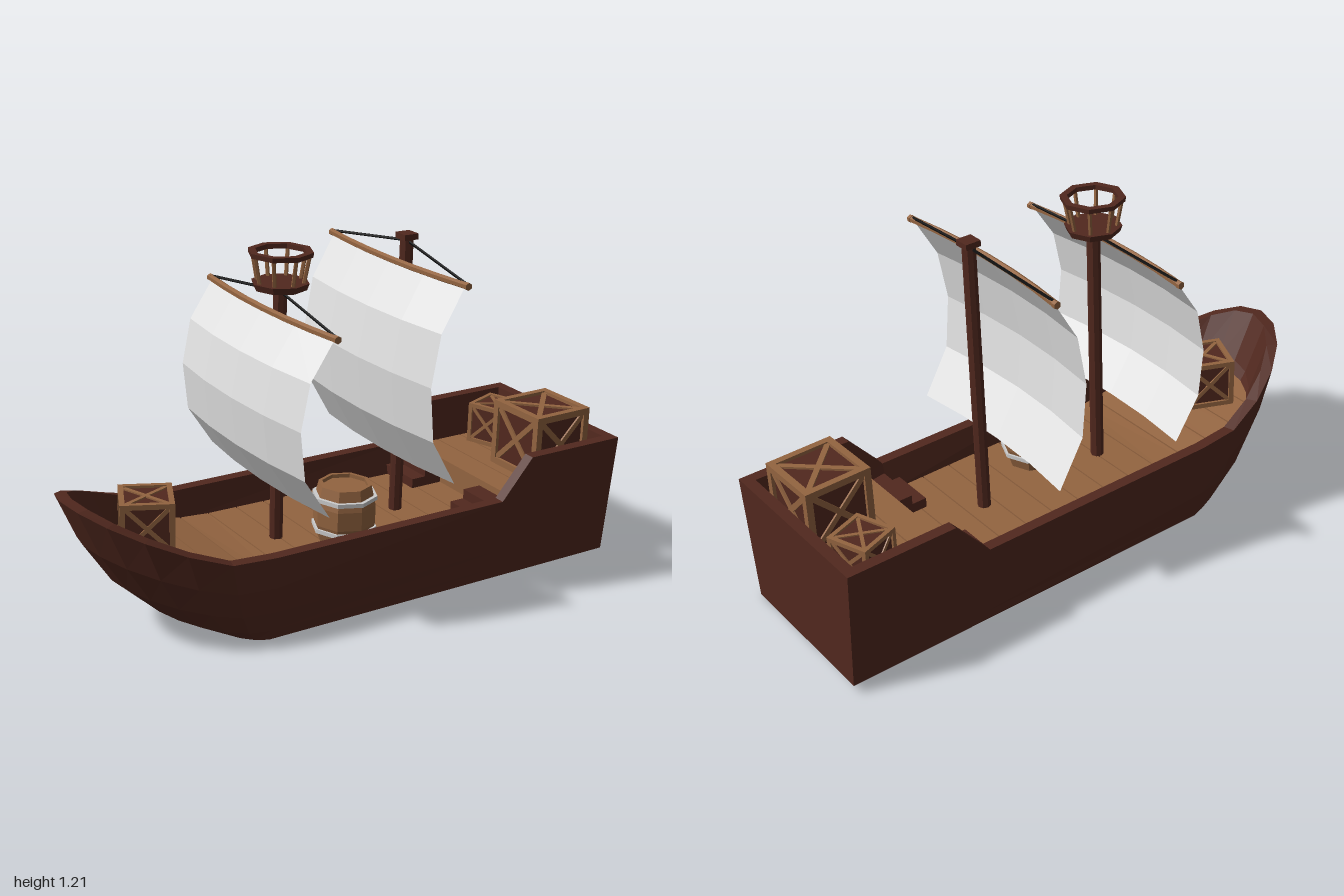
import * as THREE from 'three';

const mat = (name, color, side = THREE.FrontSide) => {
  const m = new THREE.MeshStandardMaterial({ color, flatShading: true, side });
  m.name = name;
  return m;
};
const V = (x, y, z) => new THREE.Vector3(x, y, z);

// piecewise linear lookup through [input, output] pairs
function interp(table, v) {
  for (let i = 1; i < table.length; i++) {
    const [a, p] = table[i - 1], [b, q] = table[i];
    if (v <= b) return p + (q - p) * Math.max(0, (v - a) / (b - a));
  }
  return table[table.length - 1][1];
}

// surface through a grid of points, optionally wrapped both ways
function gridGeometry(rows, wrap) {
  const n = rows[0].length, m = rows.length, pos = [], idx = [];
  rows.forEach(r => r.forEach(p => pos.push(...p)));
  for (let i = 0; i < (wrap ? m : m - 1); i++)
    for (let j = 0; j < (wrap ? n : n - 1); j++) {
      const i2 = (i + 1) % m, j2 = (j + 1) % n;
      const a = i * n + j, b = i * n + j2, c = i2 * n + j2, d = i2 * n + j;
      idx.push(a, b, c, a, c, d);
    }
  const g = new THREE.BufferGeometry();
  g.setAttribute('position', new THREE.Float32BufferAttribute(pos, 3));
  g.setIndex(idx);
  const flat = g.toNonIndexed();
  flat.computeVertexNormals();
  return flat;
}

export function createModel() {
  const dark = mat('darkWood', 0x51281e);
  const light = mat('lightWood', 0x936440);
  const cloth = mat('sailCloth', 0xe2e2e2, THREE.DoubleSide);
  const rope = mat('blackRope', 0x0c0c0c);
  const metal = mat('hoopMetal', 0xcccccc);

  const model = new THREE.Group();
  model.name = 'sailingShip';
  const ship = new THREE.Group();
  ship.name = 'listingShip';
  ship.rotation.set(0.055, 0.03, 0);
  ship.position.set(0, 0.018, -0.045);
  model.add(ship);

  const add = (name, geo, material, x = 0, y = 0, z = 0, parent = ship) => {
    const m = new THREE.Mesh(geo, material);
    m.name = name;
    m.position.set(x, y, z);
    parent.add(m);
    return m;
  };
  const box = (name, w, h, d, material, x, y, z, parent) =>
    add(name, new THREE.BoxGeometry(w, h, d), material, x, y, z, parent);
  const rod = (name, a, b, r, sides, material, parent) => {
    const dir = b.clone().sub(a), mid = a.clone().add(b).multiplyScalar(0.5);
    const m = add(name, new THREE.CylinderGeometry(r, r, dir.length(), sides), material, mid.x, mid.y, mid.z, parent);
    m.quaternion.setFromUnitVectors(V(0, 1, 0), dir.normalize());
    return m;
  };

  // hull: thick wall, open below, outer levels going up then inner levels going down
  const KNEE = -0.42, STERN = 0.99;
  const railY = [[-1, 0.495], [-0.88, 0.43], [-0.72, 0.36], [-0.56, 0.305], [0.48, 0.305], [0.6, 0.445], [1, 0.445]];
  const stemX = [[0, -0.59], [0.12, -0.71], [0.35, -0.83], [0.65, -0.925], [1, -1]];
  function hullLevel(t, inset) {
    const side = [];
    const w = 0.295 + 0.04 * t - inset, bulge = 0.015 * Math.sin(Math.PI * t);
    const reach = KNEE - interp(stemX, t) - inset;
    for (let k = 0; k <= 6; k++) {
      const a = k * Math.PI / 12, c = Math.cos(a);
      const low = 0.02 * c, top = interp(railY, KNEE - (KNEE + 1) * c);
      side.push([KNEE - reach * c, low + (top - low) * t, (w + bulge) * Math.sin(a)]);
    }
    for (const x of [0.48, 0.6, STERN])
      side.push([x === STERN ? x - inset : x, interp(railY, x) * t, w]);
    const mirrored = side.slice(1).reverse().map(([x, y, z]) => [x, y, -z]);
    return [...mirrored, ...side];
  }
  const levels = [0, 0.12, 0.35, 0.65, 1];
  const rings = levels.map(t => hullLevel(t, 0));
  levels.slice().reverse().forEach(t => rings.push(hullLevel(t, 0.04 + 0.03 * (1 - t))));
  add('hull', gridGeometry(rings, true), dark);

  // deck planks, narrowing and rising towards the bow
  const DECK = 0.2, STERN_DECK = 0.295;
  const deckHalf = x => x > KNEE ? 0.3 : 0.3 * Math.sqrt(Math.max(0.02, 1 - ((x - KNEE) / 0.46) ** 2));
  const bowRise = x => interp([[-0.88, 0.1], [-0.4, 0], [1, 0]], x);
  function planks(name, x0, x1, y, count) {
    const step = (x1 - x0) / count;
    for (let i = 0; i < count; i++) {
      const a = x0 + i * step, b = a + step - 0.005, c = (a + b) / 2;
      const s = new THREE.Shape();
      s.moveTo(a, -deckHalf(a));
      for (const x of [c, b]) s.lineTo(x, -deckHalf(x));
      for (const x of [b, c, a]) s.lineTo(x, deckHalf(x));
      const g = new THREE.ExtrudeGeometry(s, { depth: 0.02, bevelEnabled: false });
      g.rotateX(Math.PI / 2);
      const p = g.attributes.position;
      for (let k = 0; k < p.count; k++) p.setY(k, p.getY(k) + bowRise(p.getX(k)));
      g.computeVertexNormals();
      add(name, g, light, 0, y, 0);
    }
  }
  planks('mainDeckPlank', -0.87, 0.56, DECK, 13);
  planks('sternDeckPlank', 0.55, 0.97, STERN_DECK, 4);
  box('sternDeckRiser', 0.015, 0.095, 0.6, light, 0.56, 0.235, 0);

  // two short stairs up to the stern deck
  for (const z of [-0.2, 0.2]) {
    box('lowerStep', 0.055, 0.035, 0.17, dark, 0.455, DECK + 0.0175, z);
    box('upperStep', 0.07, 0.07, 0.17, dark, 0.517, DECK + 0.035, z);
  }

  // crates: dark panels, light edge bars and crossed braces on every face
  function crate(s, x, y, z, turn) {
    const g = new THREE.Group();
    g.name = 'crate';
    g.position.set(x, y + s / 2, z);
    g.rotation.y = turn;
    ship.add(g);
    const b = s * 0.1, e = (s - b) / 2, p = s * 0.9;
    box('cratePanels', p, p, p, dark, 0, 0, 0, g);
    for (const i of [-e, e]) for (const j of [-e, e]) {
      box('crateEdge', s, b, b, light, 0, i, j, g);
      box('crateEdge', b, s, b, light, i, 0, j, g);
      box('crateEdge', b, b, s, light, i, j, 0, g);
    }
    for (let f = 0; f < 6; f++) {
      const face = new THREE.Group();
      face.name = 'crateFace';
      if (f < 4) face.rotation.y = f * Math.PI / 2;
      else face.rotation.x = (f - 4.5) * Math.PI;
      g.add(face);
      for (const d of [-1, 1])
        box('crateBrace', s * 1.2, b * 0.8, b * 0.4, light, 0, 0, p / 2 + b * 0.1, face).rotation.z = d * Math.PI / 4;
    }
  }
  crate(0.24, 0.813, STERN_DECK, 0.117, 0.02);
  crate(0.15, 0.838, STERN_DECK, -0.165, 0.35);
  crate(0.175, -0.69, 0.268, -0.03, -0.42);

  // barrel with two hoops
  const lathe = pts => new THREE.LatheGeometry(pts.map(p => new THREE.Vector2(...p)), 8);
  add('barrel', lathe([[0, 0], [0.088, 0], [0.106, 0.07], [0.106, 0.135], [0.09, 0.205], [0.078, 0.205], [0.078, 0.192], [0, 0.192]]),
    light, -0.03, DECK, 0.125);
  for (const y of [0.045, 0.155])
    add('barrelHoop', lathe([[0.09, 0], [0.111, 0], [0.111, 0.014], [0.09, 0.014], [0.09, 0]]), metal, -0.03, DECK + y, 0.125);

  // masts, bowed yards, ropes and bellied sails
  const belly = [[0, 0], [0.22, -0.085], [0.48, -0.115], [0.76, -0.095], [1, 0]];
  const BOW = 0.028;
  function rig(mastX, mastTop, yardX, yardY, drop, ropeY) {
    rod('mast', V(mastX, DECK - 0.03, 0), V(mastX, mastTop, 0), 0.023, 8, dark);
    const curve = new THREE.QuadraticBezierCurve3(
      V(yardX, yardY, -0.39), V(yardX - 2 * BOW, yardY, 0), V(yardX, yardY, 0.39));
    add('yard', new THREE.TubeGeometry(curve, 6, 0.012, 6), light);
    for (const z of [-1, 1]) {
      add('yardEnd', new THREE.CylinderGeometry(0.013, 0.013, 0.014, 6), light, yardX, yardY, z * 0.388).rotation.x = Math.PI / 2;
      rod('rope', V(yardX, yardY + 0.008, z * 0.375), V(mastX, ropeY, 0), 0.005, 5, rope);
    }
    const rows = belly.map(([t, dx]) => [-1, -0.5, 0, 0.5, 1].map(u =>
      [yardX + dx - BOW * (1 - u * u), yardY - drop * t, u * 0.378]));
    add('sail', gridGeometry(rows, false), cloth);
  }
  rig(-0.22, 1.09, -0.255, 1.012, 0.59, 1.06);
  rig(0.27, 1.18, 0.231, 1.114, 0.675, 1.17);
  box('mastCap', 0.055, 0.02, 0.055, dark, 0.27, 1.185, 0);

  // lookout nest: floor, balusters and rail
  const nest = new THREE.Group();
  nest.name = 'lookoutNest';
  nest.position.set(-0.22, 1.07, 0);
  ship.add(nest);
  add('nestFloor', new THREE.CylinderGeometry(0.096, 0.088, 0.022, 8), dark, 0, 0.011, 0, nest);
  add('nestRail', lathe([[0.084, 0], [0.106, 0], [0.108, 0.016], [0.084, 0.016], [0.084, 0]]), dark, 0, 0.108, 0, nest);
  for (let i = 0; i < 8; i++) {
    const a = i * Math.PI / 4, s = Math.sin(a), c = Math.cos(a);
    rod('nestBaluster', V(0.076 * s, 0.015, 0.076 * c), V(0.094 * s, 0.112, 0.094 * c), 0.007, 5, light, nest);
  }
  return model;
}
